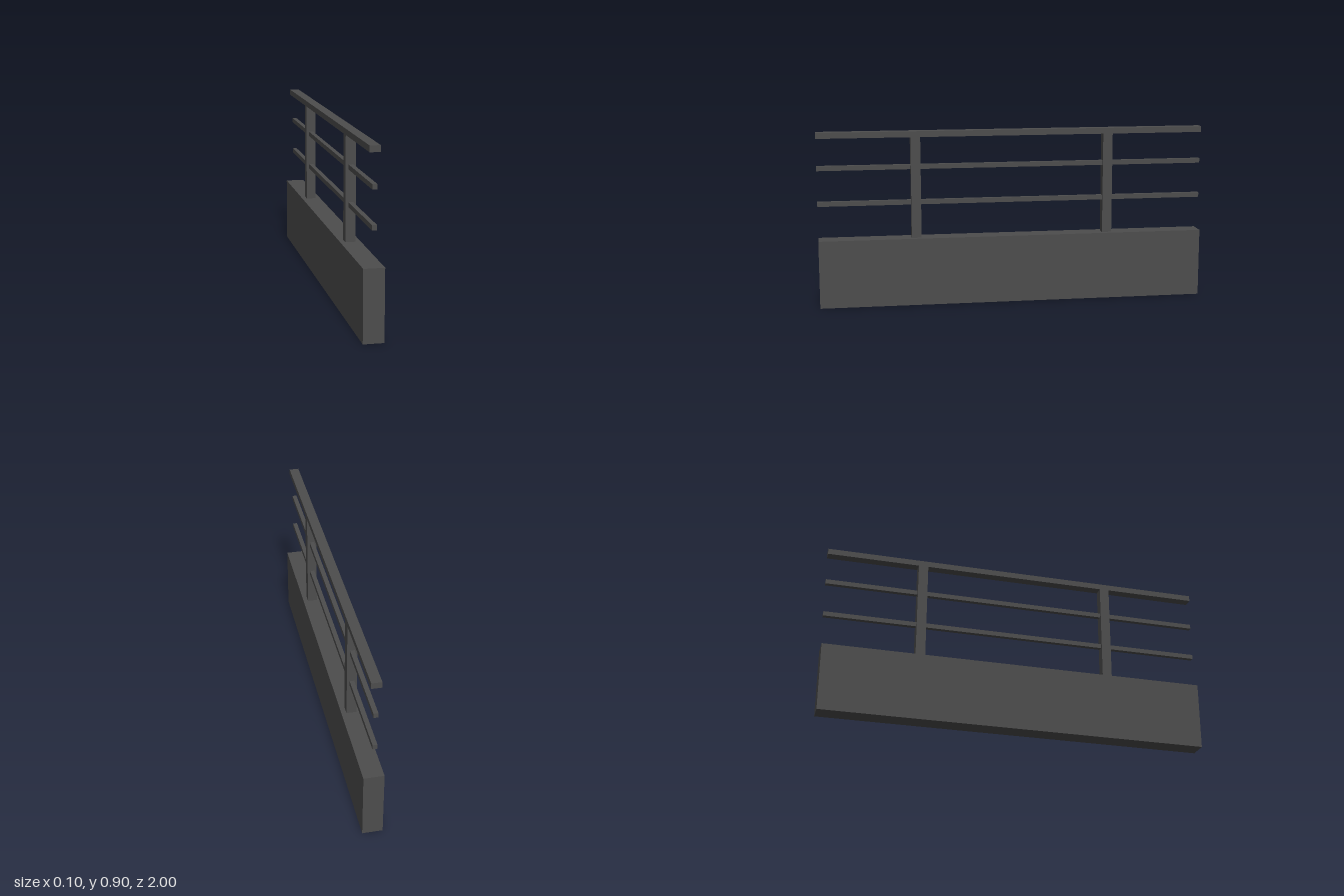
import * as THREE from 'three';

export function createModel() {
  const group = new THREE.Group();
  const darkGrey = new THREE.MeshStandardMaterial({ color: 0x4d4d4d });
  darkGrey.name = 'darkGrey';

  // Box given by its width, depth, bottom and top
  function addBox(name, width, depth, bottom, top, z = 0) {
    const mesh = new THREE.Mesh(new THREE.BoxGeometry(width, top - bottom, depth), darkGrey);
    mesh.name = name;
    mesh.position.set(0, (bottom + top) / 2, z);
    group.add(mesh);
  }

  // Solid low wall and handrail
  addBox('baseWall', 0.1, 2, 0, 0.35);
  addBox('handrail', 0.05, 2, 0.87, 0.9);

  // Upright posts
  addBox('frontPost', 0.05, 0.05, 0.35, 0.87, 0.5);
  addBox('backPost', 0.05, 0.05, 0.35, 0.87, -0.5);

  // Thin rails passing through the posts
  addBox('lowerRail', 0.023, 2, 0.522, 0.546);
  addBox('upperRail', 0.023, 2, 0.705, 0.729);

  return group;
}
